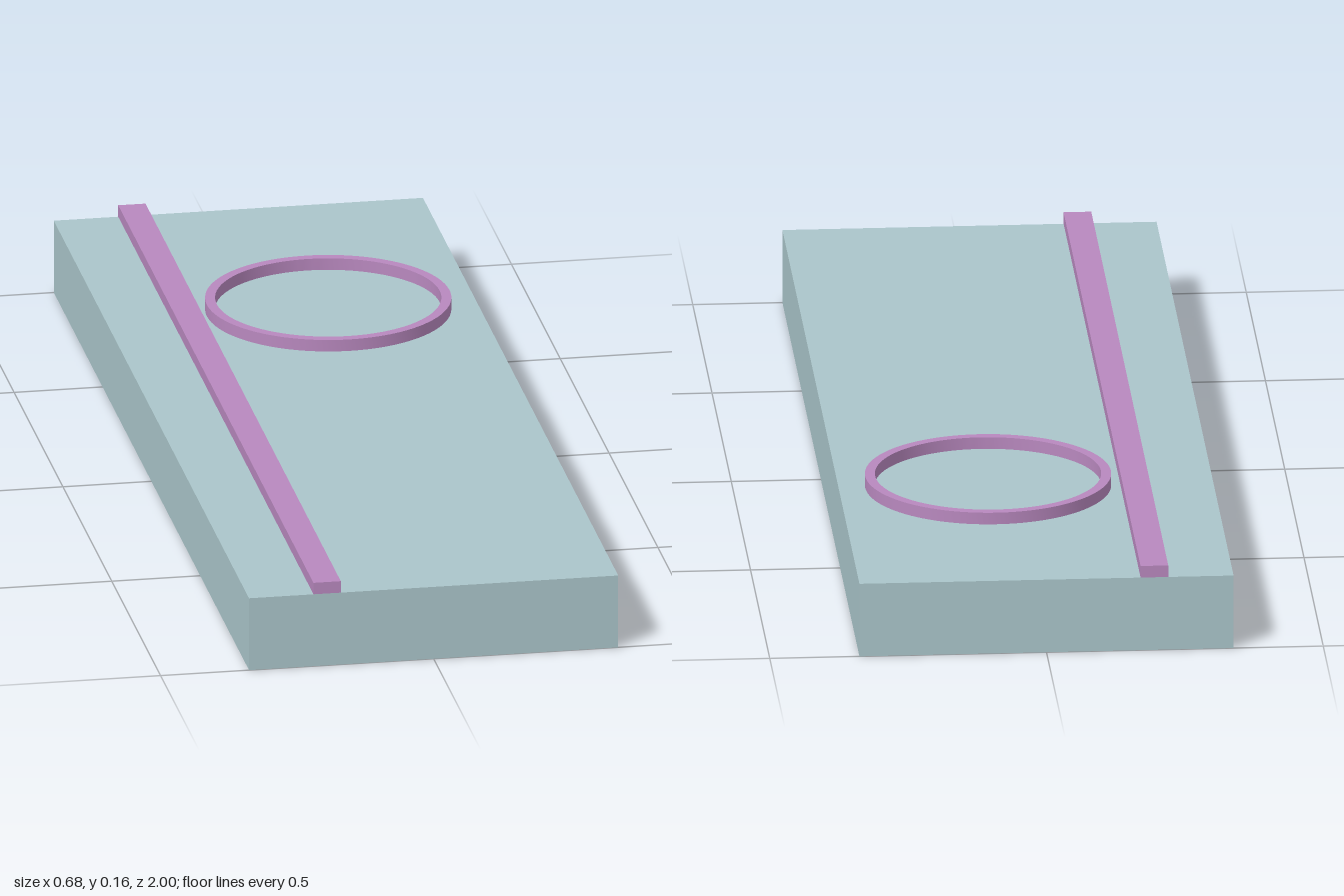
import * as THREE from 'three';
import { toCreasedNormals } from 'three/addons/utils/BufferGeometryUtils.js';

const SLAB_HEIGHT = 0.138;
const RAISED = 0.022; // height of the raised details

function addPart(group, name, geometry, material, x, y, z) {
  const mesh = new THREE.Mesh(geometry, material);
  mesh.name = name;
  mesh.position.set(x, y, z);
  group.add(mesh);
}

export function createModel() {
  const model = new THREE.Group();
  model.name = 'slabWithRail';

  const paleTeal = new THREE.MeshStandardMaterial({ name: 'paleTeal', color: 0xaac5ca });
  const mauve = new THREE.MeshStandardMaterial({ name: 'mauve', color: 0xb888be });

  // Base slab
  addPart(model, 'slab', new THREE.BoxGeometry(0.676, SLAB_HEIGHT, 2), paleTeal, 0, SLAB_HEIGHT / 2, 0);

  // Straight rail along the full length
  addPart(model, 'rail', new THREE.BoxGeometry(0.05, RAISED, 2), mauve, -0.195, SLAB_HEIGHT + RAISED / 2, 0);

  // Flat ring with smooth walls and sharp rims
  const outline = new THREE.Shape().absarc(0, 0, 0.222, 0, Math.PI * 2, false);
  outline.holes.push(new THREE.Path().absarc(0, 0, 0.204, 0, Math.PI * 2, true));
  const ring = new THREE.ExtrudeGeometry(outline, { depth: RAISED, bevelEnabled: false, curveSegments: 64 });
  ring.rotateX(-Math.PI / 2);
  addPart(model, 'ring', toCreasedNormals(ring, 0.5), mauve, 0.068, SLAB_HEIGHT, -0.46);

  return model;
}
